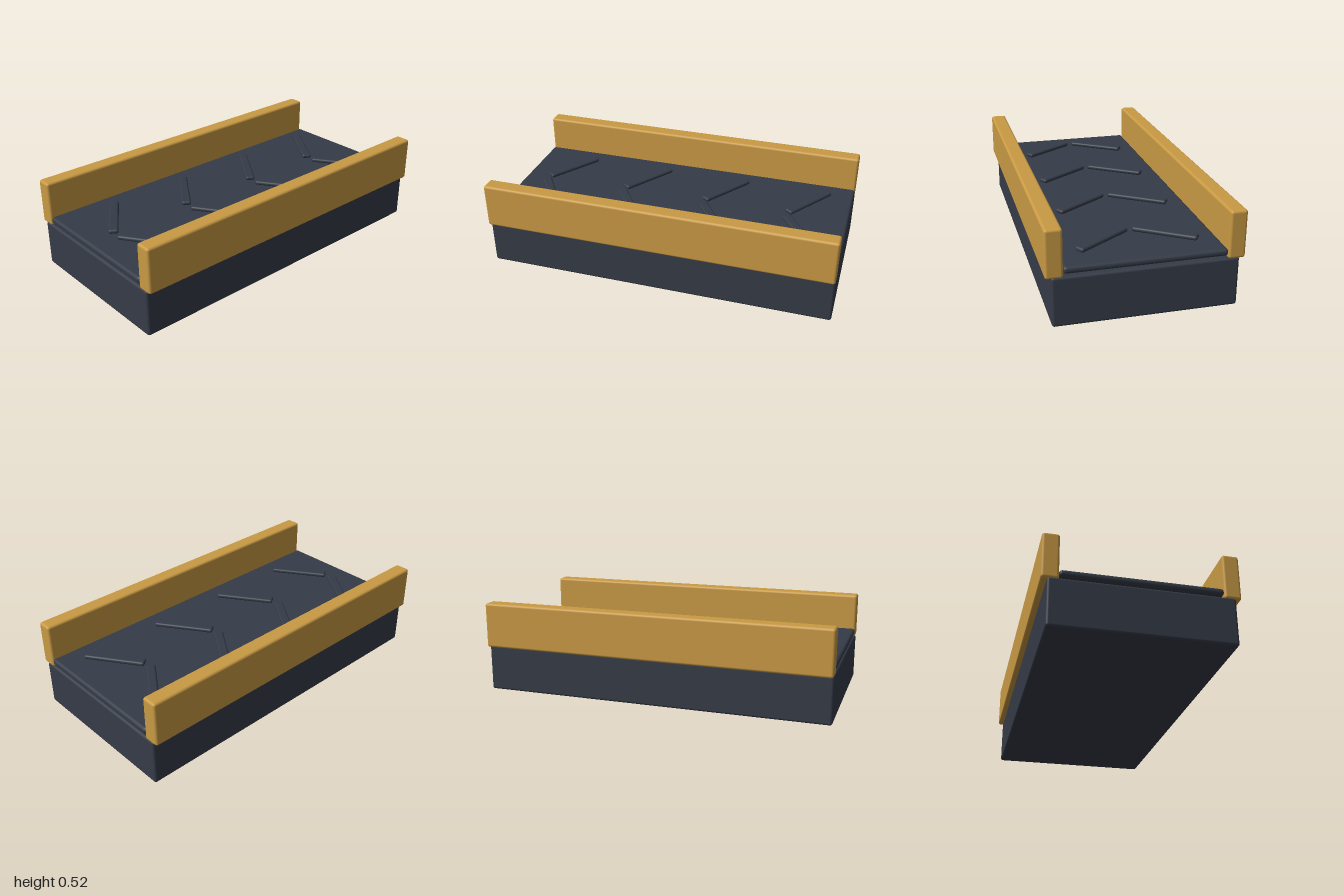
import * as THREE from 'three';
import { RoundedBoxGeometry } from 'three/addons/geometries/RoundedBoxGeometry.js';

export function createModel() {
  const model = new THREE.Group();
  model.name = 'conveyor';

  const slate = new THREE.MeshStandardMaterial({ color: 0x353b47 });
  slate.name = 'slate';
  const ochre = new THREE.MeshStandardMaterial({ color: 0xc99a44 });
  ochre.name = 'ochre';

  // Rounded block standing on height y
  function block(name, material, [w, h, d], radius, x, y, z) {
    const mesh = new THREE.Mesh(new RoundedBoxGeometry(w, h, d, 4, radius), material);
    mesh.name = name;
    mesh.position.set(x, y + h / 2, z);
    model.add(mesh);
    return mesh;
  }

  // Body and the belt just above it
  block('base', slate, [0.96, 0.268, 2], 0.014, 0, 0.002, 0);
  block('belt', slate, [0.84, 0.038, 2], 0.017, 0, 0.282, 0);

  for (const side of [-1, 1]) {
    // Side guards
    block(side > 0 ? 'leftRail' : 'rightRail', ochre, [0.09, 0.258, 2], 0.014, side * 0.465, 0.264, 0);

    // Raised chevron bars, pointing to the front
    for (let i = 0; i < 4; i++) {
      const bar = block('chevronBar', slate, [0.35, 0.025, 0.055], 0.012, side * 0.168, 0.32, -0.752 + i * 0.5);
      bar.rotation.y = side * 0.6;
    }
  }
  return model;
}
